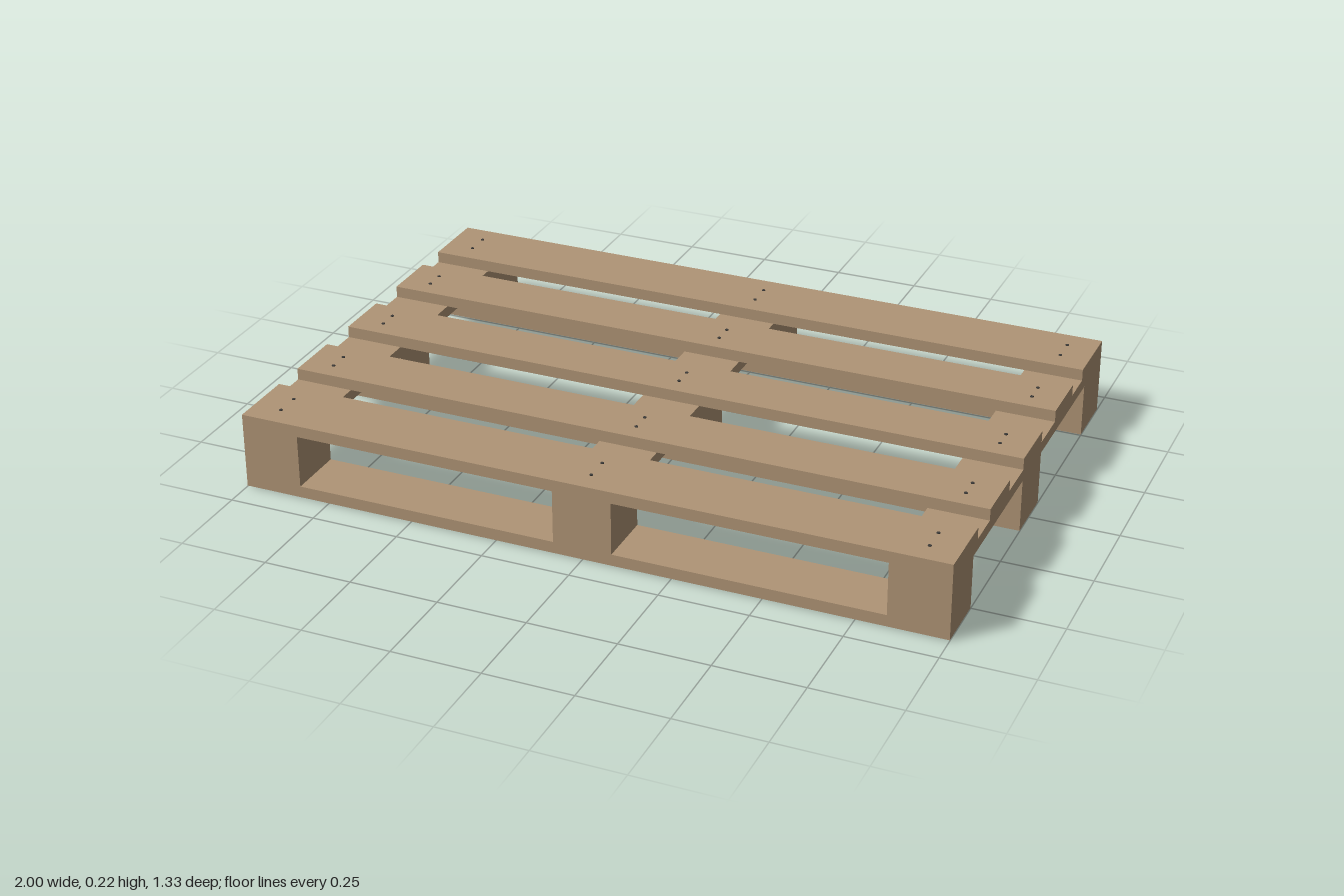
import * as THREE from 'three';

export function createModel() {
  const pallet = new THREE.Group();
  pallet.name = 'pallet';

  const wood = new THREE.MeshStandardMaterial({ color: 0xb09576 });
  wood.name = 'wood';
  const steel = new THREE.MeshStandardMaterial({ color: 0x3c3a38 });
  steel.name = 'nail steel';

  const columns = [-0.917, 0, 0.917]; // x of blocks and stringers
  const rows = [-0.584, 0, 0.584]; // z of blocks and bottom boards
  const W = 0.166; // common board width
  const BASE = 0.002, T = 0.033; // underside of wood, board thickness

  // Box spanning y0..y1
  function box(name, w, y0, y1, d, x, z) {
    const mesh = new THREE.Mesh(new THREE.BoxGeometry(w, y1 - y0, d), wood);
    mesh.name = name;
    mesh.position.set(x, (y0 + y1) / 2, z);
    pallet.add(mesh);
  }

  // Small round nail head, straddling the wood surface
  const nailGeometry = new THREE.CylinderGeometry(0.005, 0.005, 0.004, 10);
  function nail(x, y, z) {
    const mesh = new THREE.Mesh(nailGeometry, steel);
    mesh.name = 'nailHead';
    mesh.position.set(x, y, z);
    pallet.add(mesh);
  }

  // Bottom boards, blocks and the nails underneath
  for (const z of rows) {
    box('bottomBoard', 2, BASE, BASE + T, W, 0, z);
    for (const x of columns) {
      box('block', W, BASE + T, 0.153, W, x, z);
      for (const s of [-1, 1]) nail(x, BASE, z + s * 0.03);
    }
  }

  // Stringers running front to back
  for (const x of columns) box('stringer', W, 0.153, 0.186, 1.334, x, 0);

  // Top deck: [centre z, width, half nail spacing]
  const deck = [
    [-0.569, 0.196, 0.034],
    [-0.29, W, 0.028],
    [0, W, 0.027],
    [0.288, W, 0.028],
    [0.569, 0.196, 0.034],
  ];
  for (const [z, width, gap] of deck) {
    box('topBoard', 2, 0.186, 0.219, width, 0, z);
    for (const x of columns) {
      for (const s of [-1, 1]) nail(x, 0.219, z + s * gap);
    }
  }

  return pallet;
}
